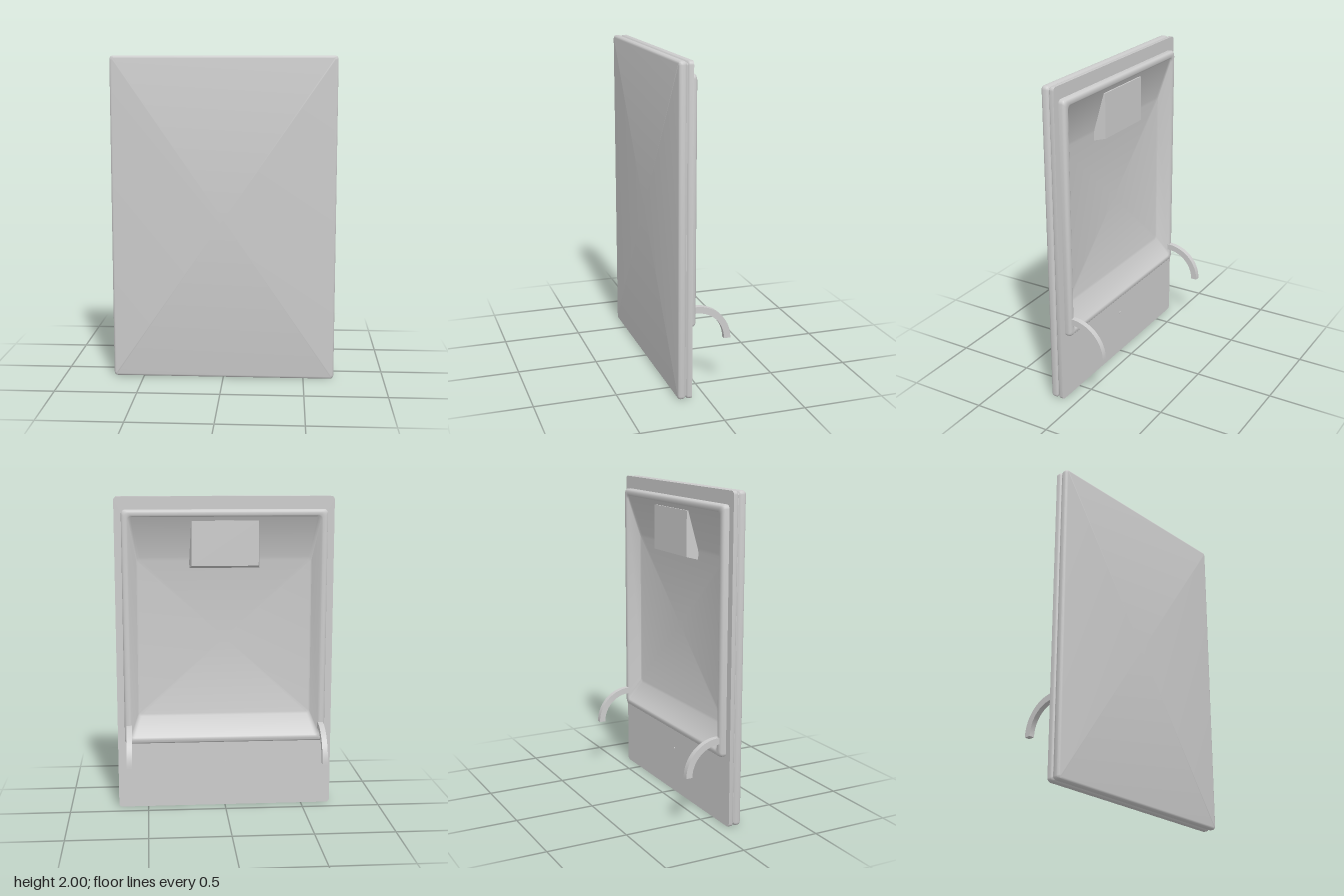
import * as THREE from 'three';
import { toCreasedNormals } from 'three/addons/utils/BufferGeometryUtils.js';

const grey = new THREE.MeshStandardMaterial({ color: 0xcccccc });

// Rounded rectangle ring at depth z, counter-clockwise as seen from the front.
function ring([hw, y0, y1, z, r]) {
  const pts = [];
  const corners = [[hw - r, y1 - r], [r - hw, y1 - r], [r - hw, y0 + r], [hw - r, y0 + r]];
  corners.forEach(([cx, cy], q) => {
    for (let k = 0; k <= 4; k++) {
      const a = (q + k / 4) * Math.PI / 2;
      pts.push([cx + r * Math.cos(a), cy + r * Math.sin(a), z]);
    }
  });
  return pts;
}

// Skin a series of rings, running from front to back over the outer surface.
function loft(profile, capFirst, capLast) {
  const pos = [], idx = [], n = 20;
  profile.forEach(p => ring(p).forEach(v => pos.push(...v)));
  for (let j = 0; j < profile.length - 1; j++) {
    for (let i = 0; i < n; i++) {
      const k = (i + 1) % n;
      const a = (j + 1) * n + i, b = (j + 1) * n + k, c = j * n + k, d = j * n + i;
      idx.push(a, b, c, a, c, d);
    }
  }
  const cap = (j, front) => {
    const [, y0, y1, z] = profile[j];
    const centre = pos.length / 3;
    pos.push(0, (y0 + y1) / 2, z);
    for (let i = 0; i < n; i++) {
      const a = j * n + i, b = j * n + (i + 1) % n;
      idx.push(centre, ...(front ? [a, b] : [b, a]));
    }
  };
  if (capFirst) cap(0, true);
  if (capLast) cap(profile.length - 1, false);
  const g = new THREE.BufferGeometry();
  g.setAttribute('position', new THREE.Float32BufferAttribute(pos, 3));
  g.setIndex(idx);
  return toCreasedNormals(g, 0.6);
}

export function createModel() {
  const door = new THREE.Group();
  door.name = 'door';
  const add = (name, geometry, parent = door) => {
    const mesh = new THREE.Mesh(geometry, grey);
    mesh.name = name;
    parent.add(mesh);
    return mesh;
  };

  // Outer panel: rounded front sheet, groove around the edge, flat back frame
  const inset = (d, z) => [0.69 - d, d, 2 - d, z, 0.022 - d * 0.6];
  const panel = [];
  for (let k = 0; k <= 4; k++) {
    const a = k / 4 * Math.PI / 2;
    panel.push(inset(0.016 * (1 - Math.sin(a)), 0.156 + 0.016 * Math.cos(a)));
  }
  panel.push(inset(0, 0.14), inset(0.003, 0.131), inset(0.01, 0.125), inset(0.01, 0.121),
    inset(0.003, 0.116), inset(0, 0.11), inset(0, 0.087), [0.62, 0.46, 1.89, 0.087, 0.03]);
  add('outerPanel', loft(panel, true, false));

  // Inner liner: rounded raised rim around a tray with sloping walls
  const rim = (d, z) => [0.645 - d, 0.43 + d, 1.92 - d, z, 0.025];
  const liner = [rim(0, 0.089), rim(0, 0.067)];
  for (let k = 1; k <= 4; k++) {
    const a = k / 4 * Math.PI / 2;
    liner.push(rim(0.02 * (1 - Math.cos(a)), 0.067 - 0.02 * Math.sin(a)));
  }
  liner.push(rim(0.033, 0.047), rim(0.04, 0.05), rim(0.045, 0.056),
    [0.555, 0.595, 1.62, 0.124, 0.02], [0.545, 0.61, 1.6, 0.128, 0.02]);
  add('innerLiner', loft(liner, false, true));

  // Dispenser block at the top of the tray, flaring slightly toward the tray floor
  const block = new THREE.BoxGeometry(0.42, 0.28, 0.076);
  block.translate(0, 1.71, 0.092);
  const p = block.attributes.position;
  for (let i = 0; i < p.count; i++) {
    if (p.getZ(i) > 0.1) {
      p.setX(i, p.getX(i) * 1.06);
      if (p.getY(i) < 1.7) p.setY(i, 1.55);
    }
  }
  block.computeVertexNormals();
  add('dispenserBlock', block);

  // Curved hinge arms, quarter rings of square section
  const arc = new THREE.Shape();
  arc.moveTo(-0.02, 0.175);
  arc.lineTo(-0.02, 0.218);
  arc.lineTo(0, 0.218);
  arc.absarc(0, 0, 0.218, Math.PI / 2, 0, true);
  arc.lineTo(0.178, 0);
  arc.absarc(0, 0, 0.178, 0, Math.PI / 2, false);
  const armGeo = new THREE.ExtrudeGeometry(arc, { depth: 0.034, bevelEnabled: false, curveSegments: 14 });
  armGeo.translate(0, 0, -0.017);
  armGeo.rotateY(Math.PI / 2);
  const arms = toCreasedNormals(armGeo, 0.6);
  for (const side of [1, -1]) {
    const arm = add(side > 0 ? 'leftHingeArm' : 'rightHingeArm', arms);
    arm.position.set(side * 0.615, 0.335, 0.046);
  }

  // Small screw head below the liner
  const screw = add('screw', new THREE.CylinderGeometry(0.008, 0.008, 0.006, 8));
  screw.rotation.x = Math.PI / 2;
  screw.position.set(0, 0.29, 0.086);

  return door;
}
